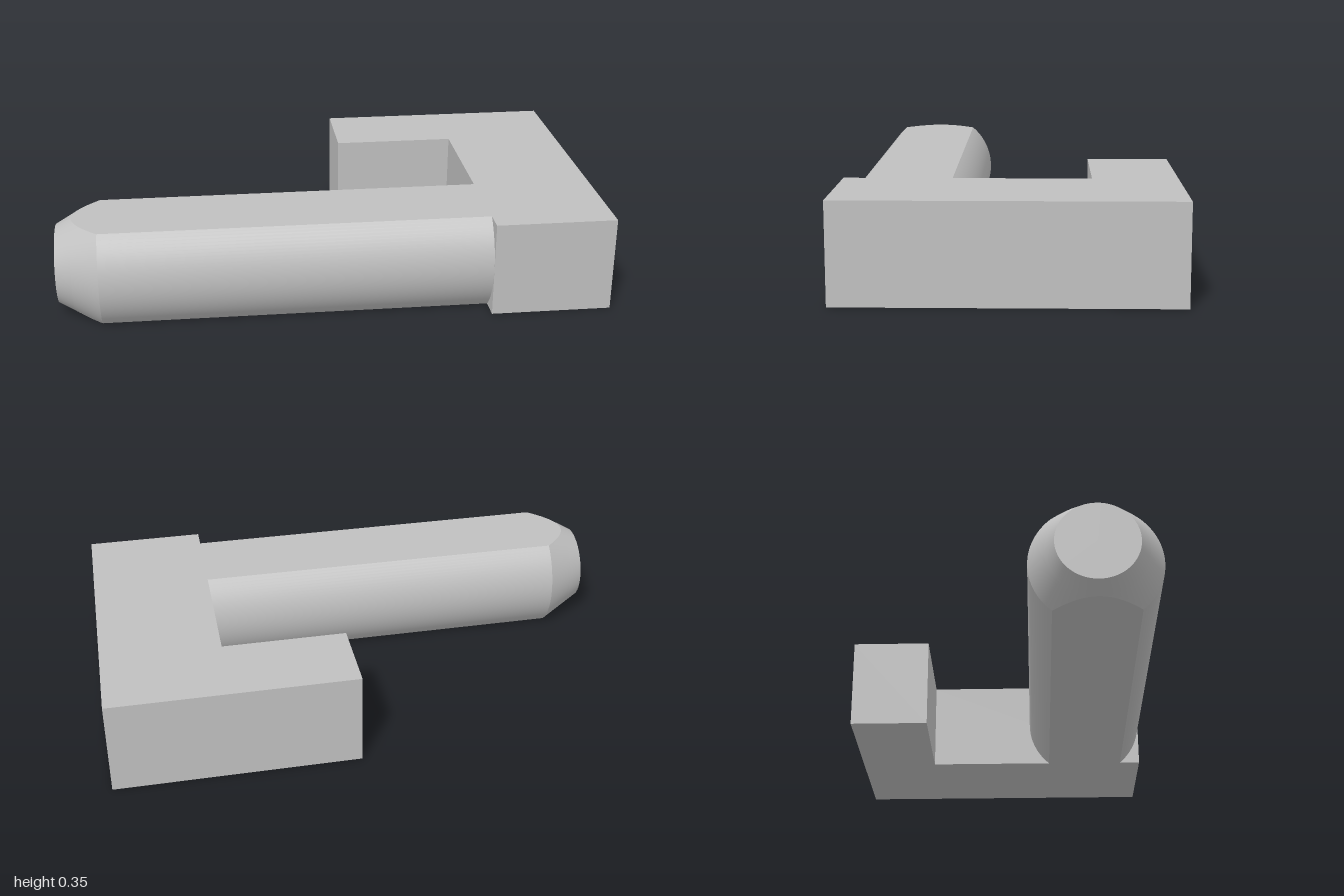
import * as THREE from 'three';

const H = 0.176;            // half thickness of the whole piece
const R = 0.232;            // rod radius before the flats are cut
const TIP_R = 0.143;        // radius of the flat tip
const ROD_Z = 0.355;        // rod axis
const TIP_X = -1, SHOULDER_X = -0.845, BODY_X = 0.56;

const radiusAt = (x) => x >= SHOULDER_X ? R
  : TIP_R + (R - TIP_R) * (x - TIP_X) / (SHOULDER_X - TIP_X);

// Surface swept along x; point(x, t) gives [y, z] for t in -1..1
function loft(xs, columns, point) {
  const pos = [], index = [];
  xs.forEach((x, i) => {
    for (let j = 0; j <= columns; j++) {
      pos.push(x, ...point(x, (j / columns) * 2 - 1));
      if (i && j) {
        const d = i * (columns + 1) + j, c = d - 1, b = d - columns - 1, a = b - 1;
        index.push(a, c, d, a, d, b);
      }
    }
  });
  const g = new THREE.BufferGeometry();
  g.setAttribute('position', new THREE.Float32BufferAttribute(pos, 3));
  g.setIndex(index);
  g.computeVertexNormals();
  return g;
}

export function createModel() {
  const model = new THREE.Group();
  const grey = new THREE.MeshStandardMaterial({ color: 0xc0c0c0 });
  grey.name = 'plain grey';
  const add = (parent, name, geometry) => {
    const mesh = new THREE.Mesh(geometry, grey);
    mesh.name = name;
    parent.add(mesh);
  };

  // Hook-shaped body, drawn as (x, -z) and extruded upwards
  const outline = [[1, -0.588], [1, 0.588], [0.1, 0.588], [0.1, 0.285], [BODY_X, 0.285], [BODY_X, -0.588]];
  const hook = new THREE.Shape(outline.map(([x, y]) => new THREE.Vector2(x, y)));
  add(model, 'hookBody', new THREE.ExtrudeGeometry(hook, { depth: 2 * H, bevelEnabled: false })
    .rotateX(-Math.PI / 2));

  // Rod with two flats and a tapered tip
  const rod = new THREE.Group();
  rod.name = 'rod';
  model.add(rod);

  // Where the flats begin on the taper, with closer steps near their rounded end
  const flatX = TIP_X + (SHOULDER_X - TIP_X) * (H - TIP_R) / (R - TIP_R);
  const flatXs = [];
  for (let i = 0; i <= 14; i++) flatXs.push(flatX + (SHOULDER_X - flatX) * (i / 14) ** 2);

  // Round sides
  const side = (middle) => (x, t) => {
    const r = radiusAt(x);
    const angle = middle + t * Math.asin(Math.min(1, H / r));
    return [H + r * Math.sin(angle), ROD_Z + r * Math.cos(angle)];
  };
  for (const [name, middle] of [['front', 0], ['back', Math.PI]]) {
    add(rod, name + 'Taper', loft([TIP_X, ...flatXs], 32, side(middle)));
    add(rod, name + 'Shaft', loft([SHOULDER_X, BODY_X], 32, side(middle)));
  }

  // Top and bottom flats
  for (const [name, s] of [['topFlat', 1], ['bottomFlat', -1]]) {
    add(rod, name, loft([...flatXs, BODY_X], 1, (x, t) =>
      [H + s * H, ROD_Z - s * t * Math.sqrt(Math.max(0, radiusAt(x) ** 2 - H * H))]));
  }

  // Tip face
  add(rod, 'tipFace', new THREE.CircleGeometry(TIP_R, 64)
    .rotateY(-Math.PI / 2).translate(TIP_X, H, ROD_Z));

  return model;
}
